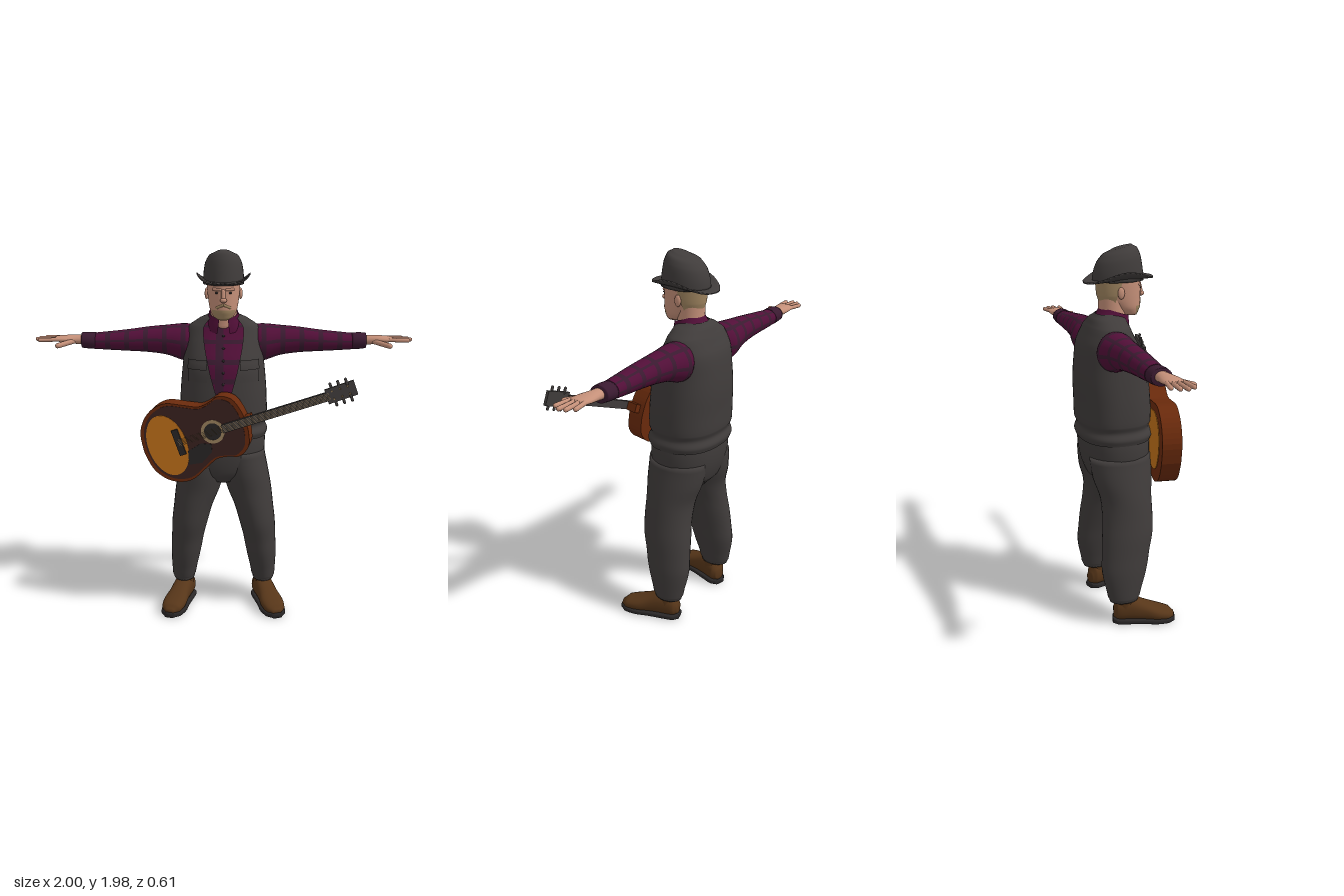
import * as THREE from 'three';

const mat = (name, color, side = THREE.FrontSide) => {
  const m = new THREE.MeshStandardMaterial({ color, side });
  m.name = name;
  return m;
};
const charcoal = mat('charcoal cloth', 0x403c3b, THREE.DoubleSide);
const maroon = mat('maroon plaid', 0x520f38, THREE.DoubleSide);
const plaidDark = mat('dark plaid', 0x3a1a30);
const skin = mat('skin', 0xc59079);
const hairTan = mat('hair tan', 0xa08560);
const leather = mat('shoe leather', 0x573619);
const black = mat('near black', 0x2a2727);
const wood = mat('guitar wood', 0x6a2a0c);
const amber = mat('guitar amber', 0xc4731a);
const burst = mat('guitar dark burst', 0x3b2220);

// Smooth cross-section [t, cu, cv, ru, rv] at any t between the given ones
const cat = (a, b, c, d, t) => b + 0.5 * t * (c - a + t * (2 * a - 5 * b + 4 * c - d + t * (3 * (b - c) + d - a)));
function sample(secs, t) {
  let i = 0;
  while (i < secs.length - 2 && t > secs[i + 1][0]) i++;
  const at = (k) => secs[Math.min(Math.max(k, 0), secs.length - 1)];
  const f = (t - at(i)[0]) / (at(i + 1)[0] - at(i)[0]);
  return at(i).map((v, k) => (k ? cat(at(i - 1)[k], v, at(i + 1)[k], at(i + 2)[k], f) : t));
}

// Skin over oval sections along an axis; range(t) leaves it open, pick(i, j, t) chooses a material
const PLACE = {
  y: (t, u, v) => [u, t, v],
  x: (t, u, v) => [t, v, u],
  z: (t, u, v) => [v, u, t],
};
function loft(name, secs, axis, material, { n = 28, sub = 4, p = 1, range, pick } = {}) {
  const mats = [].concat(material), rows = [], pos = [], lists = mats.map(() => []);
  for (let i = 0; i < secs.length - 1; i++)
    for (let k = 0; k < sub; k++) rows.push(sample(secs, THREE.MathUtils.lerp(secs[i][0], secs[i + 1][0], k / sub)));
  rows.push(secs[secs.length - 1]);
  const w = range ? n + 1 : n;
  const pw = (x) => Math.sign(x) * Math.abs(x) ** p;
  rows.forEach(([t, cu, cv, ru, rv]) => {
    const [a0, a1] = range ? range(t) : [0, Math.PI * 2];
    for (let j = 0; j < w; j++) {
      const a = a0 + ((a1 - a0) * j) / n;
      pos.push(...PLACE[axis](t, cu + ru * pw(Math.cos(a)), cv + rv * pw(Math.sin(a))));
    }
  });
  for (let i = 0; i < rows.length - 1; i++)
    for (let j = 0; j < n; j++) {
      const a = i * w + j, b = i * w + ((j + 1) % w), c = a + w, d = b + w;
      lists[pick ? pick(i, j, rows[i][0]) : 0].push(a, c, b, b, c, d);
    }
  if (!range)
    [0, rows.length - 1].forEach((r) => {
      const c = pos.length / 3;
      pos.push(...PLACE[axis](rows[r][0], rows[r][1], rows[r][2]));
      for (let j = 0; j < n; j++) {
        const a = r * w + j, b = r * w + ((j + 1) % w);
        lists[0].push(...(r ? [a, c, b] : [a, b, c]));
      }
    });
  const g = new THREE.BufferGeometry();
  g.setAttribute('position', new THREE.Float32BufferAttribute(pos, 3));
  g.setIndex(lists.flat());
  let start = 0;
  if (mats.length > 1) lists.forEach((l, k) => { g.addGroup(start, l.length, k); start += l.length; });
  g.computeVertexNormals();
  return part(name, g, mats.length > 1 ? mats : mats[0]);
}
function part(name, geo, material, x = 0, y = 0, z = 0) {
  const m = new THREE.Mesh(geo, material);
  m.name = name;
  m.position.set(x, y, z);
  return m;
}
// Rounded rod between two points
function rod(name, a, b, r, material) {
  const A = new THREE.Vector3(...a), B = new THREE.Vector3(...b), d = B.clone().sub(A);
  const m = part(name, new THREE.CapsuleGeometry(r, d.length(), 4, 10), material);
  m.position.copy(A).add(B).multiplyScalar(0.5);
  m.quaternion.setFromUnitVectors(new THREE.Vector3(0, 1, 0), d.normalize());
  return m;
}
const ball = (name, r, s, material, x, y, z) =>
  part(name, new THREE.SphereGeometry(r, 16, 12).scale(...s), material, x, y, z);
// Left part together with its mirrored right twin
function pair(m) {
  m.updateMatrix();
  const g = m.geometry.clone().applyMatrix4(m.matrix).scale(-1, 1, 1);
  const ix = g.index.array;
  for (let i = 0; i < ix.length; i += 3) [ix[i], ix[i + 1]] = [ix[i + 1], ix[i]];
  return [m, part(m.name + 'Right', g, m.material)];
}

const F = Math.PI / 2; // angle of the front
const plaid = (i, j) => (i % 4 === 0 || j % 5 === 0 ? 1 : 0);
const grow = (s, d) => [s[0], s[1], s[2], s[3] + d, s[4] + d];

function buildBody(root) {
  // Vest and shirt
  const torso = [[1.0, 0, -0.095, 0.228, 0.183], [1.03, 0, -0.095, 0.236, 0.192], [1.065, 0, -0.097, 0.222, 0.178],
    [1.1, 0, -0.098, 0.233, 0.188], [1.2, 0, -0.1, 0.232, 0.188], [1.3, 0, -0.105, 0.225, 0.186],
    [1.4, 0, -0.108, 0.215, 0.177], [1.5, 0, -0.125, 0.205, 0.145], [1.58, 0, -0.125, 0.182, 0.105],
    [1.62, 0, -0.12, 0.125, 0.085], [1.645, 0, -0.115, 0.075, 0.065]];
  root.add(loft('vest', torso, 'y', charcoal, { n: 44, p: 0.85, range: (t) => {
    const g = Math.max(0, (t - 1.15) * 1.25);
    return [F + g, F + Math.PI * 2 - g];
  } }));
  root.add(loft('shirt', torso.slice(3).map((s) => grow(s, -0.012)), 'y', [maroon, plaidDark], { n: 40, p: 0.85, pick: plaid }));
  const pocket = (name, y0, y1, d) => pair(loft(name, [y0, (y0 + y1) / 2, y1].map((y) => grow(sample(torso, y), d)), 'y', charcoal,
    { n: 8, p: 0.85, range: () => [F - 0.9, F - 0.32] }));
  root.add(...pocket('pocket', 1.31, 1.41, 0.005), ...pocket('pocketFlap', 1.375, 1.425, 0.013));
  for (let y = 1.3; y < 1.56; y += 0.06) {
    const s = sample(torso, y);
    root.add(ball('button', 0.007, [1, 1, 0.5], black, 0, y, s[2] + s[4] - 0.01));
  }
  const collar = loft('collar', [[-0.04, 0, 0, 0.105, 0.1], [0, 0, 0, 0.088, 0.088], [0.035, 0, -0.005, 0.076, 0.078]], 'y', maroon,
    { range: () => [F + 0.3, F + Math.PI * 2 - 0.3] });
  collar.position.set(0, 1.62, -0.09);
  collar.rotation.x = 0.32;
  root.add(collar);

  // Sleeves, cuffs and hands
  root.add(...pair(loft('sleeve', [[0.14, -0.14, 1.485, 0.08, 0.09], [0.2, -0.145, 1.485, 0.1, 0.1], [0.3, -0.145, 1.497, 0.082, 0.08],
    [0.4, -0.142, 1.5, 0.07, 0.068], [0.5, -0.137, 1.497, 0.065, 0.058], [0.6, -0.137, 1.494, 0.058, 0.05],
    [0.71, -0.138, 1.492, 0.05, 0.042]], 'x', [maroon, plaidDark], { n: 30, pick: plaid })));
  root.add(...pair(loft('cuff', [[0.68, -0.138, 1.493, 0.052, 0.044], [0.72, -0.138, 1.495, 0.053, 0.044], [0.755, -0.138, 1.496, 0.05, 0.041]], 'x', plaidDark)));
  root.add(...pair(loft('palm', [[0.73, -0.138, 1.498, 0.032, 0.027], [0.78, -0.138, 1.5, 0.036, 0.025], [0.84, -0.134, 1.503, 0.048, 0.02],
    [0.89, -0.132, 1.505, 0.047, 0.014], [0.9, -0.132, 1.505, 0.035, 0.008]], 'x', skin, { n: 18 })));
  [[-0.169, -0.182, 0.952], [-0.145, -0.152, 0.98], [-0.12, -0.12, 0.99], [-0.095, -0.085, 0.972]].forEach(([z0, z1, x]) =>
    root.add(...pair(rod('finger', [0.88, 1.505, z0], [x, 1.504, z1], 0.011, skin))));
  root.add(...pair(rod('thumb', [0.795, 1.495, -0.115], [0.87, 1.482, -0.04], 0.014, skin)));

  // Trousers
  root.add(loft('trouserSeat', [[0.75, 0, -0.08, 0.07, 0.11], [0.8, 0, -0.085, 0.17, 0.15], [0.88, 0, -0.09, 0.215, 0.172],
    [0.96, 0, -0.093, 0.225, 0.18], [1.04, 0, -0.095, 0.22, 0.178]], 'y', charcoal, { n: 36, p: 0.9 }));
  root.add(...pair(loft('trouserLeg', [[0.135, 0.225, -0.118, 0.058, 0.078], [0.16, 0.225, -0.118, 0.066, 0.088], [0.3, 0.213, -0.11, 0.083, 0.122],
    [0.4, 0.201, -0.098, 0.09, 0.13], [0.5, 0.186, -0.083, 0.1, 0.138], [0.6, 0.166, -0.075, 0.108, 0.136], [0.7, 0.14, -0.075, 0.122, 0.138],
    [0.8, 0.118, -0.085, 0.126, 0.158], [0.92, 0.1, -0.092, 0.122, 0.165]], 'y', charcoal)));

  // Shoes, turned outwards
  const shoe = [[-0.165, 0.06, 0, 0.03, 0.026], [-0.14, 0.075, 0, 0.06, 0.048], [-0.07, 0.08, 0, 0.066, 0.053], [0, 0.066, 0, 0.052, 0.056],
    [0.07, 0.052, 0, 0.038, 0.064], [0.13, 0.042, 0, 0.028, 0.053], [0.16, 0.034, 0, 0.012, 0.024]];
  [loft('shoe', shoe, 'z', leather, { p: 0.85 }),
    loft('sole', shoe.map(([z, , , , r]) => [z * 1.03, 0.015, 0, 0.015, r + 0.004]), 'z', black, { p: 0.45 }),
    rod('ankle', [0, 0.09, -0.1], [0, 0.13, -0.1], 0.052, leather)].forEach((m) => {
    m.updateMatrix();
    m.geometry.applyMatrix4(m.matrix);
    m.position.set(0.25, 0, -0.012);
    m.quaternion.setFromEuler(new THREE.Euler(0, 0.3, 0));
    root.add(...pair(m));
  });
}

function buildHead(root) {
  root.add(loft('neck', [[1.57, 0, -0.1, 0.075, 0.07], [1.65, 0, -0.095, 0.07, 0.068], [1.74, 0, -0.095, 0.07, 0.07]], 'y', skin));
  // Head with a short beard on the lower front
  root.add(loft('head', [[1.628, 0, 0.008, 0.03, 0.03], [1.64, 0, -0.005, 0.05, 0.048], [1.67, 0, -0.026, 0.068, 0.08], [1.71, 0, -0.044, 0.077, 0.1],
    [1.76, 0, -0.054, 0.083, 0.11], [1.81, 0, -0.058, 0.086, 0.113], [1.85, 0, -0.06, 0.08, 0.105]], 'y', [skin, hairTan],
  { n: 36, pick: (i, j, t) => (t < 1.672 && j > 2 && j < 15 ? 1 : 0) }));
  root.add(loft('hair', [[1.7, 0, -0.062, 0.074, 0.1], [1.74, 0, -0.06, 0.085, 0.113], [1.83, 0, -0.06, 0.09, 0.119]], 'y', hairTan,
    { range: (t) => [F + 1.95 - (t - 1.7) * 3, F + Math.PI * 2 - 1.95 + (t - 1.7) * 3] }));
  root.add(rod('noseBridge', [0, 1.775, 0.055], [0, 1.738, 0.063], 0.011, skin), ball('noseTip', 0.016, [1.1, 0.8, 0.9], skin, 0, 1.733, 0.066));
  root.add(rod('mouth', [-0.018, 1.688, 0.047], [0.018, 1.688, 0.047], 0.004, burst));
  root.add(...pair(rod('moustache', [0.004, 1.707, 0.053], [0.032, 1.693, 0.042], 0.008, hairTan)));
  root.add(...pair(ball('eye', 0.009, [1.3, 0.6, 0.6], black, 0.032, 1.768, 0.045)));
  root.add(...pair(rod('brow', [0.016, 1.785, 0.052], [0.05, 1.785, 0.036], 0.007, skin)));
  root.add(...pair(ball('ear', 0.026, [0.4, 1.15, 0.7], skin, 0.088, 1.752, -0.075)));

  // Hat crown, peaked at the front, and a brim curled up at the sides
  const crown = loft('hatCrown', [[1.805, 0, -0.06, 0.106, 0.133], [1.86, 0, -0.06, 0.103, 0.126], [1.91, 0, -0.057, 0.094, 0.112],
    [1.945, 0, -0.05, 0.074, 0.088], [1.962, 0, -0.04, 0.035, 0.052]], 'y', charcoal);
  const c = crown.geometry.attributes.position;
  for (let i = 0; i < c.count; i++) {
    const y = c.getY(i);
    c.setY(i, y + (c.getZ(i) + 0.07) * 1.7 * Math.max(0, y - 1.83));
  }
  crown.geometry.computeVertexNormals();
  const prof = [[0.6, 0], [0.8, 0], [0.9, 0], [1, 0], [1, 0.009], [0.9, 0.01], [0.8, 0.01], [0.6, 0.012]];
  const brim = new THREE.LatheGeometry(prof.map((q) => new THREE.Vector2(...q)), 40).scale(0.138, 1, 0.18);
  const b = brim.attributes.position;
  for (let i = 0; i < b.count; i++) b.setY(i, b.getY(i) + 0.045 * (b.getX(i) / 0.138) ** 4 + 0.05 * b.getZ(i));
  brim.computeVertexNormals();
  root.add(crown, part('hatBrim', brim, charcoal, 0, 1.806, -0.06));
}

function buildGuitar() {
  const g = new THREE.Group();
  g.name = 'guitar';
  const half = [[-0.27, 0.11], [-0.2, 0.19], [-0.1, 0.215], [0, 0.175], [0.07, 0.145], [0.13, 0.15], [0.19, 0.165], [0.25, 0.13], [0.275, 0.06]];
  const ring = [[-0.29, 0], ...half.map(([x, y]) => [x, -y]), [0.28, 0], ...half.slice().reverse(), [-0.29, 0]];
  const curve = new THREE.SplineCurve(ring.map((q) => new THREE.Vector2(...q))).getPoints(80);
  const outline = (k) => new THREE.Shape(curve.slice(0, -1).map((q) => new THREE.Vector2(q.x * k - 0.02 * (1 - k), q.y * k)));
  const oval = (x, rx, ry) => new THREE.Shape().absellipse(x, 0, rx, ry, 0, Math.PI * 2);
  const plate = (name, shape, depth, z, m) => g.add(part(name, new THREE.ExtrudeGeometry(shape, { depth, bevelEnabled: false, curveSegments: 32 }), m, 0, 0, z));
  const box = (name, w, h, d, x, y, z, m) => {
    const o = part(name, new THREE.BoxGeometry(w, h, d), m, x, y, z);
    g.add(o);
    return o;
  };
  // Hollow-looking body with sunburst faces
  plate('guitarBody', outline(1), 0.1, -0.1, wood);
  plate('topBurst', outline(0.93), 0.003, 0, burst);
  plate('topAmber', oval(-0.155, 0.105, 0.165), 0.003, 0.003, amber);
  plate('backAmber', outline(0.75), 0.003, -0.103, amber);
  const rosette = oval(0.1, 0.062, 0.062);
  rosette.holes.push(new THREE.Path().absellipse(0.1, 0, 0.045, 0.045, 0, Math.PI * 2));
  plate('rosette', rosette, 0.003, 0.004, hairTan);
  plate('soundHole', oval(0.1, 0.045, 0.045), 0.002, 0.003, black);
  const guard = new THREE.Shape([[0.07, -0.06], [0.02, -0.04], [-0.06, -0.06], [-0.08, -0.13], [-0.01, -0.14], [0.06, -0.1]].map((q) => new THREE.Vector2(...q)));
  plate('pickguard', guard, 0.003, 0.006, black);
  box('bridge', 0.035, 0.14, 0.012, -0.09, 0, 0.01, black);
  // Neck, headstock, tuners and strings
  box('neck', 0.56, 0.044, 0.022, 0.435, 0, 0.006, charcoal);
  box('neckHeel', 0.05, 0.045, 0.07, 0.285, 0, -0.035, wood);
  const head = box('headstock', 0.15, 0.075, 0.016, 0.785, 0, -0.002, charcoal);
  head.rotation.y = 0.15;
  for (let k = 0; k < 6; k++) {
    const s = k % 2 ? 1 : -1, u = 0.745 + 0.04 * Math.floor(k / 2);
    g.add(rod('tuner', [u, s * 0.03, 0], [u, s * 0.056, 0], 0.007, charcoal));
    box('tunerPost', 0.008, 0.008, 0.016, u, s * 0.02, 0.01, hairTan);
    box('string', 0.82, 0.0015, 0.0015, 0.32, (k - 2.5) * 0.0065, 0.02, hairTan);
  }
  g.position.set(-0.145, 1.045, 0.165);
  g.rotation.set(0, -0.175, 0.35);
  return g;
}

export function createModel() {
  const root = new THREE.Group();
  root.name = 'guitarist';
  buildBody(root);
  buildHead(root);
  root.add(buildGuitar());
  return root;
}
